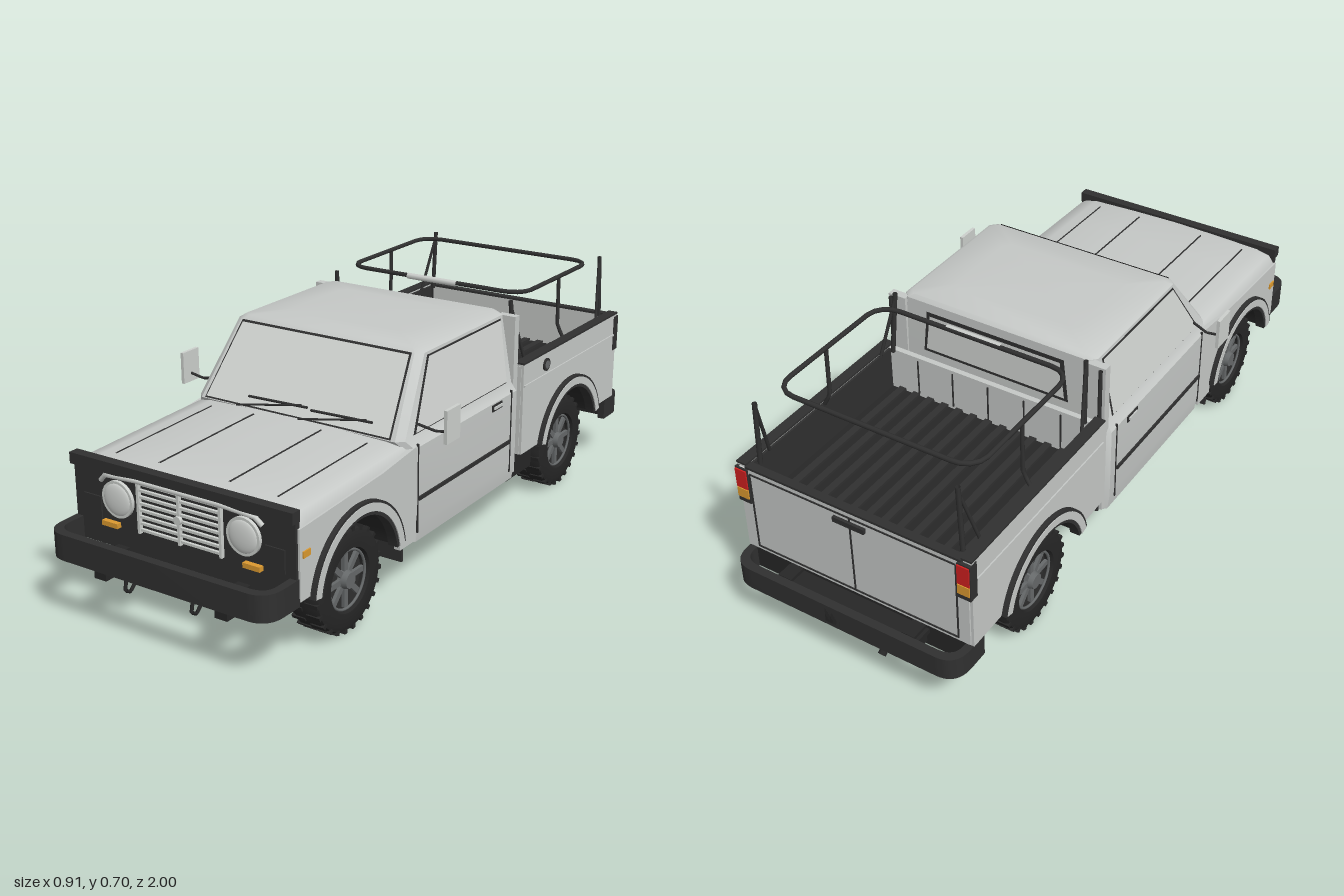
import * as THREE from 'three';
import { mergeGeometries, toCreasedNormals } from 'three/addons/utils/BufferGeometryUtils.js';

const mat = (name, color, side = THREE.FrontSide) => Object.assign(new THREE.MeshStandardMaterial({ color, side }), { name });

export function createModel() {
  const D = THREE.DoubleSide;
  const body = mat('body paint', 0xc6c9c7, D), glass = mat('glass', 0xd2d5d2, D), trim = mat('dark trim', 0x303030, D);
  const tyre = mat('tyre rubber', 0x262626), chassis = mat('chassis', 0x262626, D), rim = mat('rim metal', 0x66696a);
  const chrome = mat('bright metal', 0xcdd0cd), amber = mat('amber lens', 0xdc9a30), red = mat('red lens', 0xd02020);
  const truck = new THREE.Group();
  truck.name = 'pickupTruck';
  const V = (a) => new THREE.Vector3(...a);

  const add = (name, geo, material, parent = truck) => {
    const m = new THREE.Mesh(geo, material);
    m.name = name;
    parent.add(m);
    return m;
  };
  // Box given by its minimum and maximum corners
  const box = (name, a, b, material) => {
    const g = new THREE.BoxGeometry(b[0] - a[0], b[1] - a[1], b[2] - a[2]);
    return add(name, g.translate((a[0] + b[0]) / 2, (a[1] + b[1]) / 2, (a[2] + b[2]) / 2), material);
  };
  // Round bar through straight points
  const bar = (name, pts, r, material, closed = false) => {
    const path = new THREE.CurvePath();
    const p = pts.map(V);
    if (closed) p.push(p[0].clone());
    for (let i = 0; i + 1 < p.length; i++) path.add(new THREE.LineCurve3(p[i], p[i + 1]));
    return add(name, new THREE.TubeGeometry(path, (p.length - 1) * 4, r, 8, false), material);
  };
  const quad = (name, pts, material) => {
    const g = new THREE.BufferGeometry().setFromPoints([0, 1, 2, 0, 2, 3].map((i) => V(pts[i])));
    g.computeVertexNormals();
    return add(name, g, material);
  };
  const loft = (rows, closed, crease) => {
    const pts = [], n = rows[0].length;
    for (let i = 0; i + 1 < rows.length; i++) {
      for (let j = 0; j < (closed ? n : n - 1); j++) {
        const k = (j + 1) % n, a = rows[i][j], b = rows[i][k], c = rows[i + 1][k], d = rows[i + 1][j];
        pts.push(a, b, d, b, c, d);
      }
    }
    const g = new THREE.BufferGeometry().setFromPoints(pts.map(V));
    g.computeVertexNormals();
    return toCreasedNormals(g, crease);
  };
  // Extrude a (z, y) outline inwards from the side of the vehicle
  const sidePanel = (name, shape, depth, outer, s, material) => {
    const g = new THREE.ExtrudeGeometry(shape, { depth, bevelEnabled: false, curveSegments: 24 });
    g.rotateY(-Math.PI / 2).translate(s > 0 ? outer : depth - outer, 0, 0);
    return add(name, toCreasedNormals(g, 0.5), material);
  };
  const outline = (pts) => new THREE.Shape(pts.map((p) => new THREE.Vector2(...p)));

  const FZ = 0.62, RZ = -0.585, AY = 0.16, AR = 0.205;

  // Cab: lower tub and tapering greenhouse with a crowned roof
  const ring = (y, zf, zb, w, c = 0.02) => [[-w + c, y, zf], [w - c, y, zf], [w, y, zf - c], [w, y, zb + c],
    [w - c, y, zb], [-w + c, y, zb], [-w, y, zb + c], [-w, y, zf - c]];
  add('cab', loft([ring(0.15, 0.345, -0.245, 0.362), ring(0.2, 0.345, -0.245, 0.368), ring(0.43, 0.365, -0.245, 0.368),
    ring(0.455, 0.385, -0.245, 0.35), ring(0.657, 0.235, -0.24, 0.316), ring(0.668, 0.218, -0.23, 0.3),
    ring(0.674, 0.13, -0.15, 0.2), ring(0.677, 0, 0, 0, 0)], true, 0.6), body);
  const sx = (y) => 0.35 - (y - 0.455) * 0.168, fz = (y) => 0.385 - (y - 0.455) * 0.743;
  const screen = (o, g) => [[-0.312 - g, 0.463 - g], [0.312 + g, 0.463 - g], [0.284 + g, 0.654 + g], [-0.284 - g, 0.654 + g]]
    .map(([x, y]) => [x, y, fz(y) + o]);
  quad('windscreenSeal', screen(0.003, 0.005), trim);
  quad('windscreen', screen(0.006, 0), glass);
  for (const [x0, x1] of [[-0.165, 0.035], [0.05, 0.25]]) {
    bar('wiperBlade', [[x0, 0.487, fz(0.487) + 0.014], [x1, 0.491, fz(0.491) + 0.014]], 0.004, trim);
    bar('wiperArm', [[x0 - 0.03, 0.462, fz(0.462) + 0.016], [x1 - 0.02, 0.494, fz(0.494) + 0.016]], 0.003, trim);
  }
  const rearGlass = (z, g) => [[0.23 + g, 0.51 - g, z], [-0.23 - g, 0.51 - g, z], [-0.215 - g, 0.625 + g, z], [0.215 + g, 0.625 + g, z]];
  quad('rearWindowSeal', rearGlass(-0.249, 0.011), trim);
  quad('rearWindow', rearGlass(-0.252, 0), glass);

  // Bonnet, lofted from the nose to the cowl
  const half = [[0.367, -0.09], [0.362, -0.035], [0.345, -0.012], [0.3, -0.002], [0.15, 0.004], [0, 0.007]];
  const section = [...half.map(([x, y]) => [-x, y]), ...half.slice(0, -1).reverse()];
  const hoodRows = [[0.87, 0.43], [0.83, 0.439], [0.7, 0.443], [0.5, 0.449], [0.37, 0.452], [0.34, 0.452]];
  add('bonnet', loft(hoodRows.map(([z, h]) => section.map(([x, y]) => [x, h + y, z])), false, 0.8), body);
  for (const x of [-0.265, -0.115, 0.115, 0.265]) {
    const dy = Math.abs(x) > 0.2 ? -0.001 : 0.005;
    bar('bonnetRidge', [[x, 0.4395 + dy, 0.82], [x, 0.443 + dy, 0.7], [x, 0.449 + dy, 0.5], [x, 0.451 + dy, 0.42]], 0.0025, trim);
  }
  box('engineBay', [-0.235, 0.17, 0.34], [0.235, 0.41, 0.86], chassis);

  // Nose panel, grille and lamps
  box('nosePanel', [-0.362, 0.2, 0.862], [0.362, 0.43, 0.878], trim);
  box('noseTopBand', [-0.364, 0.413, 0.862], [0.364, 0.445, 0.892], trim);
  for (let i = 0; i < 8; i++) box('grilleSlat', [-0.135, 0.272 + i * 0.0185, 0.878], [0.135, 0.279 + i * 0.0185, 0.886], chrome);
  for (const x of [-0.135, 0, 0.135]) box('grillePost', [x - 0.004, 0.265, 0.878], [x + 0.004, 0.415, 0.889], chrome);
  add('grilleBoss', new THREE.CylinderGeometry(0.012, 0.012, 0.01, 20).rotateX(Math.PI / 2).translate(0, 0.336, 0.889), chrome);
  bar('grilleTopStrip', [[-0.265, 0.385, 0.882], [-0.245, 0.405, 0.886], [-0.14, 0.413, 0.889], [0.14, 0.413, 0.889],
    [0.245, 0.405, 0.886], [0.265, 0.385, 0.882]], 0.007, chrome);

  // Bumpers: bent plates
  const bumper = (name, front, y0, y1) => {
    const s = new THREE.Shape();
    s.moveTo(-0.365, 0.87).lineTo(-0.365, 0.93).quadraticCurveTo(-0.365, 1, -0.3, 1).lineTo(0.3, 1);
    s.quadraticCurveTo(0.365, 1, 0.365, 0.93).lineTo(0.365, 0.87).lineTo(0.342, 0.87).lineTo(0.342, 0.93);
    s.quadraticCurveTo(0.342, 0.975, 0.29, 0.975).lineTo(-0.29, 0.975).quadraticCurveTo(-0.342, 0.975, -0.342, 0.93).lineTo(-0.342, 0.87);
    const g = new THREE.ExtrudeGeometry(s, { depth: y1 - y0, bevelEnabled: false }).rotateX(-Math.PI / 2).translate(0, y0, 0);
    if (front) g.rotateY(Math.PI);
    add(name, toCreasedNormals(g, 0.6), trim);
  };
  bumper('frontBumper', true, 0.187, 0.262);
  bumper('rearBumper', false, 0.14, 0.208);
  box('rearStepPlate', [-0.23, 0.185, -0.978], [0.23, 0.2, -0.91], chassis);
  box('rearValance', [-0.345, 0.14, -0.92], [0.345, 0.215, -0.9], chassis);
  box('numberPlate', [-0.05, 0.15, -1], [0.05, 0.195, -0.996], chassis);

  // Load bed
  box('bedFloor', [-0.345, 0.335, -0.905], [0.345, 0.355, -0.275], chassis);
  for (let i = -6; i <= 6; i++) box('bedRib', [i * 0.05 - 0.011, 0.355, -0.9], [i * 0.05 + 0.011, 0.364, -0.285], trim);
  box('bedFrontWall', [-0.36, 0.21, -0.285], [0.36, 0.49, -0.268], body);
  for (let i = -2; i <= 2; i++) box('bedFrontSeam', [i * 0.12 - 0.002, 0.365, -0.288], [i * 0.12 + 0.002, 0.48, -0.285], trim);
  box('tailgate', [-0.36, 0.215, -0.925], [0.36, 0.49, -0.905], body);
  box('tailgateTopEdge', [-0.34, 0.49, -0.925], [0.34, 0.497, -0.9], trim);
  for (const y of [0.225, 0.475]) box('tailgateSeam', [-0.325, y, -0.928], [0.325, y + 0.004, -0.925], trim);
  for (const x of [-0.325, 0, 0.325]) box('tailgateSeam', [x - 0.002, 0.225, -0.928], [x + 0.002, 0.475, -0.925], trim);
  box('tailgateHandle', [-0.05, 0.448, -0.934], [0.05, 0.464, -0.925], trim);

  // Rack loop over the bed with rounded corners
  const loop = [];
  for (const [cx, cz, a] of [[0.25, -0.41, 0], [-0.25, -0.41, 1], [-0.25, -0.75, 2], [0.25, -0.75, 3]])
    for (let i = 0; i <= 4; i++) {
      const t = (a + i / 4) * Math.PI / 2;
      loop.push([cx + 0.06 * Math.cos(t), 0.688, cz + 0.06 * Math.sin(t)]);
    }
  bar('rackLoop', loop, 0.007, trim, true);
  bar('rackLightBar', [[-0.088, 0.688, -0.345], [0.088, 0.688, -0.345]], 0.0095, chrome);

  for (const s of [1, -1]) {
    const sq = (name, x, yzs, m) => quad(name, yzs.map(([z, y]) => [s * (sx(y) + x), y, z]), m);
    const sbox = (name, a, b, m) => box(name, [s > 0 ? a[0] : -b[0], a[1], a[2]], [s > 0 ? b[0] : -a[0], b[1], b[2]], m);
    const sbar = (name, pts, r, m) => bar(name, pts.map(([x, y, z]) => [s * x, y, z]), r, m);

    // Door glass, seams, rubbing strip and handle
    sq('doorWindowSeal', 0.002, [[0.325, 0.46], [-0.195, 0.46], [-0.205, 0.65], [0.207, 0.65]], trim);
    sq('doorWindow', 0.005, [[0.315, 0.464], [-0.191, 0.464], [-0.201, 0.646], [0.203, 0.646]], glass);
    for (const z of [0.325, -0.198]) sbox('doorSeam', [0.364, 0.18, z], [0.37, 0.44, z + 0.004], trim);
    sbox('doorStrip', [0.364, 0.275, -0.19], [0.373, 0.286, 0.325], trim);
    sbox('doorHandleRecess', [0.364, 0.406, -0.137], [0.371, 0.426, -0.078], trim);
    sbox('doorHandle', [0.37, 0.412, -0.13], [0.375, 0.42, -0.085], body);
    sbox('rearCabPillar', [0.3, 0.16, -0.25], [0.357, 0.655, -0.225], body);
    sbar('cabRearEdge', [[0.345, 0.16, -0.257], [0.345, 0.65, -0.257]], 0.006, trim);
    sbox('sill', [0.24, 0.128, -0.31], [0.29, 0.19, 0.36], chassis);

    // Mirror
    sbox('mirror', [0.445, 0.455, 0.255], [0.455, 0.55, 0.325], chrome);
    sbar('mirrorStem', [[0.35, 0.485, 0.3], [0.4, 0.472, 0.29], [0.448, 0.48, 0.29]], 0.004, trim);

    // Front wing and bed side, with wheel arch cut-outs
    const wing = outline([[0.335, 0.16], [0.335, 0.435], [0.5, 0.415], [0.87, 0.395], [0.87, 0.2]]);
    wing.absarc(FZ, AY, AR, 0.196, Math.PI, false);
    sidePanel('frontWing', wing, 0.02, 0.368, s, body);
    const side = outline([[-0.92, 0.21], [-0.92, 0.5], [-0.27, 0.5], [-0.27, 0.21]]);
    side.absarc(RZ, AY, AR, 0.246, Math.PI - 0.246, false);
    sidePanel('bedSide', side, 0.025, 0.368, s, body);
    sbox('bedSideLiner', [0.336, 0.34, -0.905], [0.343, 0.49, -0.285], trim);
    sbox('bedRail', [0.338, 0.497, -0.922], [0.37, 0.503, -0.268], trim);
    sbox('bedCrease', [0.365, 0.425, -0.9], [0.372, 0.431, -0.275], body);
    for (const cz of [FZ, RZ]) {
      const arc = (name, r0, r1, depth, outer, m) => {
        const a = cz === RZ ? 0.24 : 0.15, sh = new THREE.Shape();
        sh.absarc(cz, AY, r1, a, Math.PI - a, false).absarc(cz, AY, r0, Math.PI - a, a, true);
        sidePanel(name, sh, depth, outer, s, m);
      };
      arc('archEdge', 0.207, 0.214, 0.022, 0.382, trim);
      arc('archFlare', 0.184, 0.207, 0.025, 0.384, body);
      arc('archLip', 0.174, 0.184, 0.03, 0.381, trim);
      arc('archLiner', 0.184, 0.19, 0.14, 0.358, chassis);
    }
    sbox('mudFlap', [0.27, 0.12, 0.395], [0.365, 0.22, 0.403], trim);
    sbox('sideMarker', [0.36, 0.315, 0.83], [0.372, 0.333, 0.86], amber);

    // Headlamp and indicator
    add('headlampRing', new THREE.CylinderGeometry(0.052, 0.052, 0.016, 32).rotateX(Math.PI / 2).translate(s * 0.207, 0.343, 0.88), chrome);
    add('headlampLens', new THREE.SphereGeometry(0.046, 24, 12).scale(1, 1, 0.2).translate(s * 0.207, 0.343, 0.886), glass);
    sbox('indicator', [0.207, 0.261, 0.878], [0.261, 0.275, 0.893], amber);
    sbox('lampSurround', [0.27, 0.27, 0.878], [0.33, 0.335, 0.882], trim);

    // Tail lamp
    sbox('tailLampHousing', [0.33, 0.375, -0.93], [0.37, 0.49, -0.9], trim);
    sbox('tailLampRed', [0.332, 0.425, -0.934], [0.368, 0.486, -0.93], red);
    sbox('tailLampAmber', [0.332, 0.392, -0.934], [0.368, 0.422, -0.93], amber);

    // Rack posts
    sbar('rackFrontPost', [[0.32, 0.49, -0.295], [0.312, 0.685, -0.278]], 0.007, trim);
    sbar('rackFrontBrace', [[0.312, 0.67, -0.28], [0.335, 0.49, -0.335]], 0.005, trim);
    sbar('rackMiddlePost', [[0.335, 0.49, -0.595], [0.312, 0.53, -0.595], [0.31, 0.688, -0.595]], 0.006, trim);
    sbar('rackRearPost', [[0.32, 0.49, -0.885], [0.312, 0.69, -0.885]], 0.007, trim);
    sbar('rackRearBrace', [[0.312, 0.67, -0.883], [0.335, 0.49, -0.83]], 0.005, trim);

    // Chassis rail, hooks and bumper brackets
    sbox('chassisRail', [0.15, 0.135, -0.92], [0.2, 0.2, 0.9], chassis);
    for (const z of [0.87, -0.975]) sbox('bumperBracket', [0.18, 0.15, z], [0.22, 0.21, z + 0.105], chassis);
    sbar('towHook', [[0.11, 0.19, 0.97], [0.11, 0.145, 0.98], [0.11, 0.135, 0.96], [0.11, 0.15, 0.945]], 0.005, chassis);

    // Wheels
    for (const z of [FZ, RZ]) {
      const w = new THREE.Group();
      w.name = z > 0 ? 'frontWheel' : 'rearWheel';
      w.position.set(s * 0.297, 0.15, z);
      if (s < 0) w.rotation.y = Math.PI;
      const prof = [[0.08, -0.04], [0.09, -0.049], [0.125, -0.051], [0.14, -0.045], [0.146, -0.034], [0.146, 0.034],
        [0.14, 0.045], [0.125, 0.051], [0.09, 0.049], [0.08, 0.025]];
      const tg = new THREE.LatheGeometry(prof.map((p) => new THREE.Vector2(...p)), 40).rotateZ(-Math.PI / 2);
      add('tyre', toCreasedNormals(tg, 0.6), tyre, w);
      const lugs = [];
      for (let i = 0; i < 48; i++)
        lugs.push(new THREE.BoxGeometry(0.042, 0.02, 0.012).translate(i % 2 ? 0.026 : -0.026, 0.139, 0).rotateX(i * Math.PI / 24));
      add('tread', mergeGeometries(lugs), tyre, w);
      add('wheelDish', new THREE.CylinderGeometry(0.084, 0.084, 0.05, 32).rotateZ(Math.PI / 2), trim, w);
      add('wheelRing', new THREE.TorusGeometry(0.082, 0.004, 8, 36).rotateY(Math.PI / 2).translate(0.038, 0, 0), rim, w);
      add('hub', new THREE.CylinderGeometry(0.022, 0.03, 0.03, 20).rotateZ(-Math.PI / 2).translate(0.035, 0, 0), rim, w);
      const spokes = [];
      for (let i = 0; i < 8; i++) spokes.push(new THREE.BoxGeometry(0.014, 0.056, 0.016).translate(0.028, 0.052, 0).rotateX(i * Math.PI / 4));
      add('spokes', mergeGeometries(spokes), rim, w);
      truck.add(w);
    }
  }

  // Fuel cap
  add('fuelCap', new THREE.CylinderGeometry(0.02, 0.02, 0.012, 24).rotateZ(Math.PI / 2).translate(0.367, 0.46, -0.415), trim);
  add('fuelCapCentre', new THREE.CylinderGeometry(0.013, 0.013, 0.014, 24).rotateZ(Math.PI / 2).translate(0.368, 0.46, -0.415), rim);

  // Underside: floor, cross members, axles, driveline and exhaust
  box('cabFloor', [-0.355, 0.185, -0.24], [0.355, 0.2, 0.34], chassis);
  box('bedUnderFrame', [-0.23, 0.2, -0.9], [0.23, 0.335, -0.25], chassis);
  for (const z of [0.8, 0.3, -0.05, -0.3, -0.85]) box('crossMember', [-0.2, 0.14, z - 0.02], [0.2, 0.18, z + 0.02], chassis);
  for (const z of [FZ, RZ]) {
    bar('axle', [[-0.27, 0.15, z], [0.27, 0.15, z]], 0.022, chassis);
    add('differential', new THREE.SphereGeometry(0.05, 20, 14).translate(0.015, 0.155, z), z > 0 ? rim : chassis);
  }
  bar('driveShaft', [[0.015, 0.155, FZ], [0, 0.16, 0.1], [0.015, 0.155, RZ]], 0.014, chassis);
  box('fuelTank', [0.2, 0.12, -0.41], [0.33, 0.21, -0.25], chassis);
  box('batteryTray', [0.22, 0.108, -0.36], [0.3, 0.13, -0.12], chassis);
  bar('silencer', [[-0.105, 0.14, -0.1], [-0.105, 0.14, -0.32]], 0.034, chassis);
  bar('exhaustPipe', [[-0.105, 0.15, 0.45], [-0.105, 0.14, -0.4], [-0.105, 0.2, -0.55], [-0.105, 0.14, -0.88], [-0.105, 0.08, -0.97]], 0.012, chassis);
  return truck;
}
